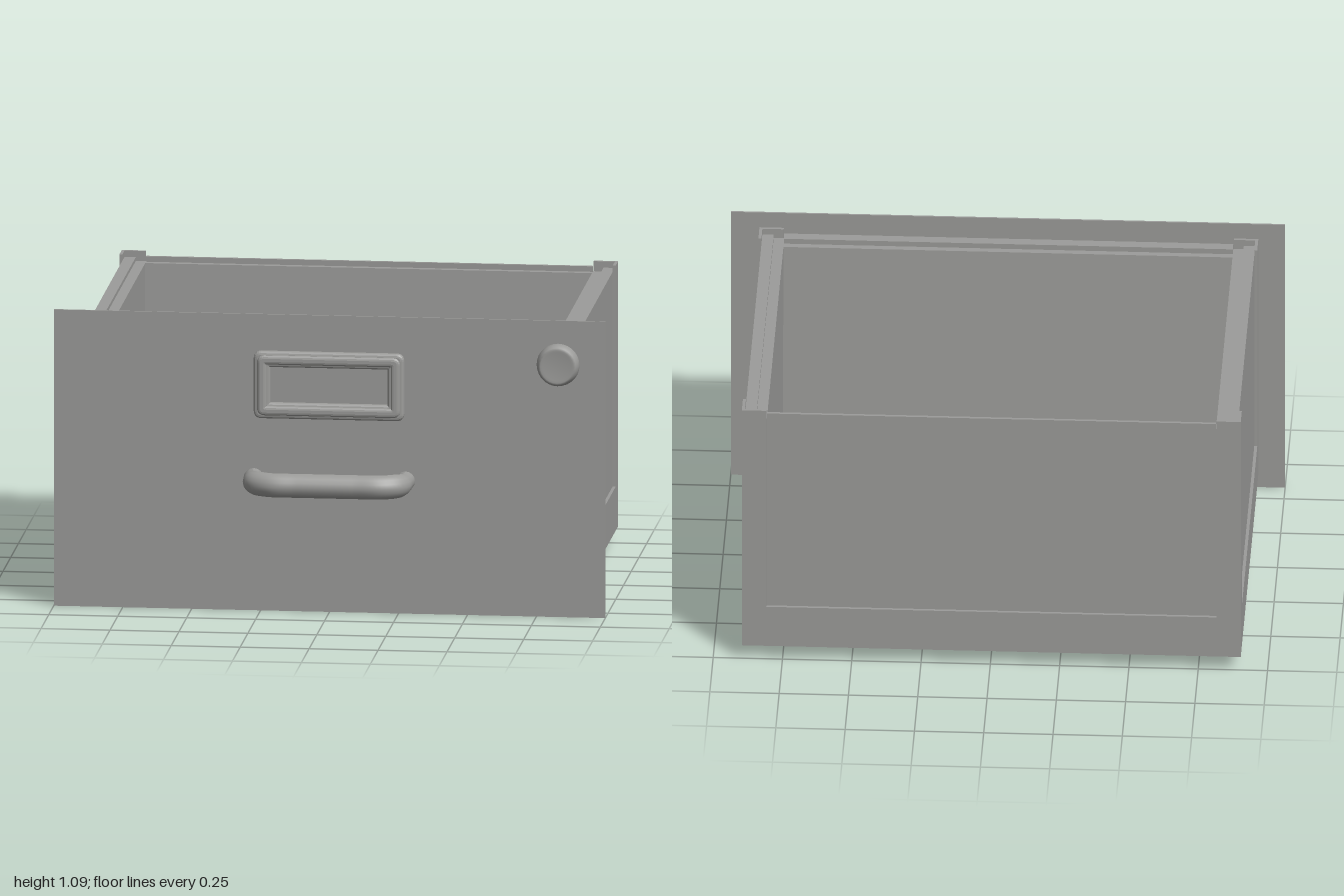
import * as THREE from 'three';

export function createModel() {
  const model = new THREE.Group();
  model.name = 'fileDrawer';
  const steel = new THREE.MeshStandardMaterial({ color: 0x9c9c9a });
  steel.name = 'greySteel';

  const add = (name, geo, parent, x = 0, y = 0, z = 0) => {
    const m = new THREE.Mesh(geo, steel);
    m.name = name;
    m.position.set(x, y, z);
    parent.add(m);
    return m;
  };
  const poly = (pts) => new THREE.Shape(pts.map(([x, y]) => new THREE.Vector2(x, y)));
  const rect = (w, d) => [[-w, -d], [w, -d], [w, d], [-w, d]];
  const roundRect = (S, w, h, r) => {
    const s = new S();
    s.moveTo(-w + r, -h).lineTo(w - r, -h).quadraticCurveTo(w, -h, w, -h + r);
    s.lineTo(w, h - r).quadraticCurveTo(w, h, w - r, h).lineTo(-w + r, h);
    s.quadraticCurveTo(-w, h, -w, h - r).lineTo(-w, -h + r).quadraticCurveTo(-w, -h, -w + r, -h);
    return s;
  };
  // plan outline extruded upwards from y0 to y1
  const upright = (shape, y0, y1) =>
    new THREE.ExtrudeGeometry(shape, { depth: y1 - y0, bevelEnabled: false })
      .rotateX(-Math.PI / 2).translate(0, y0, 0);
  const ring = (w, d, iw, id, y0, y1) => {
    const s = poly(rect(w, d));
    s.holes.push(poly(rect(iw, id)));
    return upright(s, y0, y1);
  };

  // ---- Drawer box ----
  const body = new THREE.Group();
  body.name = 'drawerBox';
  body.position.set(-0.004, 0, -0.095);
  model.add(body);
  const W = 0.9, D = 0.666, T = 0.011, POST_X = 0.088, POST_Z = 0.082, BASE = 0.08;

  add('bottomRail', ring(W, D, W - T, D - T, 0.06, 0.222), body);
  add('bottomLip', ring(W - T, D - T, W - 0.087, D - 0.087, 0.06, BASE), body);
  add('floor', new THREE.BoxGeometry(1.62, 0.072, 1.13), body, 0, BASE + 0.036, -0.015);

  // wall cross-section: the outer rim stands a little above the inner one
  const wall = (outer, step, top, bottom, rim, length) =>
    new THREE.ExtrudeGeometry(
      poly([[bottom, BASE], [outer, BASE], [outer, rim], [step, rim], [step, 0.998], [top, 0.998]]),
      { depth: length, bevelEnabled: false }).translate(0, 0, -length / 2);
  for (const s of [-1, 1]) {
    const side = add('sideWall', wall(W - T, 0.848, 0.81, 0.81, 1.012, 2 * (D - T)), body);
    side.rotation.y = s > 0 ? 0 : Math.PI;
    // the end walls slope inwards towards the floor
    const o = s * 0.014;
    add('endWall', wall(D - T, 0.63 + o, 0.606 + o, 0.564 + o, 1.018, 1.62), body).rotation.y = s * Math.PI / 2;
  }

  // angle posts at the four corners
  for (const sx of [-1, 1]) for (const sz of [-1, 1]) {
    const pts = [[W, D], [W - POST_X, D], [W - POST_X, D - T], [W - T, D - T], [W - T, D - POST_Z], [W, D - POST_Z]]
      .map(([x, z]) => [x * sx, z * sz]);
    add('cornerPost', upright(poly(pts), 0.222, 1.035), body);
  }

  // ---- Front panel ----
  add('frontPanel', new THREE.BoxGeometry(2, 1.09, 0.007), model, 0, 0.545, 0.5845);

  // ---- Label holder ----
  const holder = new THREE.Group();
  holder.name = 'labelHolder';
  holder.position.set(0, 0.835, 0.587);
  model.add(holder);
  const frame = (name, w, h, iw, ih, height, bevel) => {
    const s = roundRect(THREE.Shape, w - bevel, h - bevel, 0.015);
    s.holes.push(roundRect(THREE.Path, iw + bevel, ih + bevel, 0.01));
    add(name, new THREE.ExtrudeGeometry(s, {
      depth: height - 2 * bevel, bevelSize: bevel, bevelThickness: bevel, bevelSegments: 3, curveSegments: 5,
    }), holder, 0, 0, bevel);
  };
  frame('labelFrame', 0.273, 0.124, 0.212, 0.065, 0.032, 0.013);
  frame('labelFrameBead', 0.26, 0.111, 0.225, 0.076, 0.042, 0.012);

  // ---- Pull handle: bent bar, slimmer at its feet ----
  const path = new THREE.CatmullRomCurve3([
    [-0.275, 0.582], [-0.273, 0.63], [-0.258, 0.68], [-0.2, 0.716], [-0.1, 0.718],
    [0.1, 0.718], [0.2, 0.716], [0.258, 0.68], [0.273, 0.63], [0.275, 0.582],
  ].map(([x, z]) => new THREE.Vector3(x, 0.488, z)));
  const SEG = 60, SIDES = 16;
  const bar = new THREE.TubeGeometry(path, SEG, 0.044, SIDES);
  const pos = bar.attributes.position, v = new THREE.Vector3();
  for (let i = 0; i <= SEG; i++) {
    const c = path.getPointAt(i / SEG);
    const k = 0.8 + 0.2 * THREE.MathUtils.smoothstep(c.z, 0.62, 0.7);
    for (let j = 0; j <= SIDES; j++) {
      const n = i * (SIDES + 1) + j;
      v.fromBufferAttribute(pos, n).sub(c).multiplyScalar(k).add(c);
      pos.setXYZ(n, v.x, v.y, v.z);
    }
  }
  bar.computeVertexNormals();
  add('pullHandle', bar, model);

  // ---- Lock ----
  const lock = new THREE.LatheGeometry([
    [0.074, 0], [0.078, 0.012], [0.075, 0.03], [0.068, 0.046], [0.06, 0.051], [0.053, 0.046], [0, 0.046],
  ].map(([r, h]) => new THREE.Vector2(r, h)), 28);
  add('lock', lock, model, 0.83, 0.93, 0.587).rotation.x = Math.PI / 2;

  return model;
}
